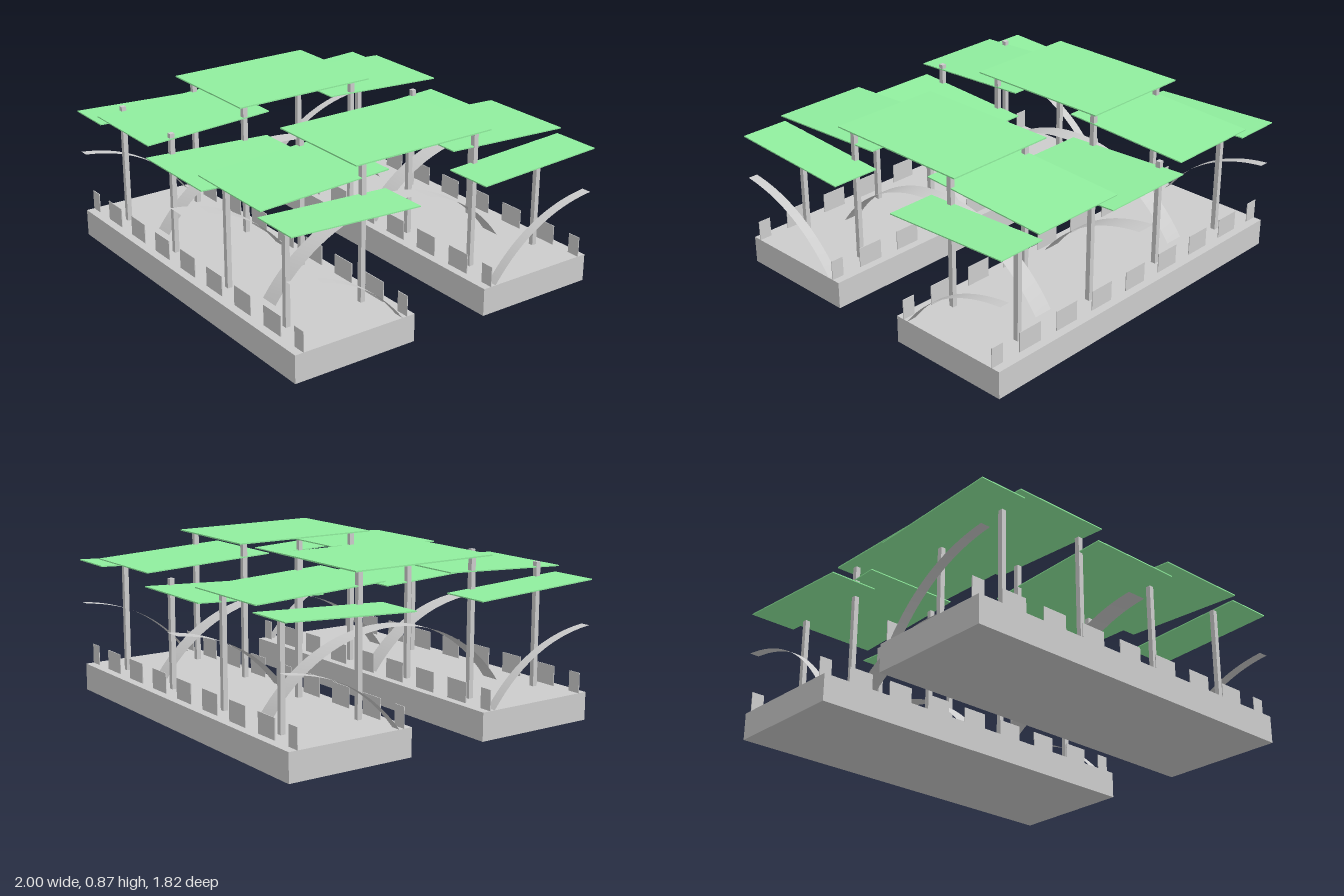
import * as THREE from 'three';

const grey = new THREE.MeshStandardMaterial({ color: 0xcccccc });
const greySheet = new THREE.MeshStandardMaterial({ color: 0xcccccc, side: THREE.DoubleSide });
const green = new THREE.MeshStandardMaterial({ color: 0x90ee9e });

const DECK = 0.145; // height of the platform tops

// Box given by its limits on each axis
function box(name, [x0, x1], [y0, y1], [z0, z1], material = grey) {
  const mesh = new THREE.Mesh(new THREE.BoxGeometry(x1 - x0, y1 - y0, z1 - z0), material);
  mesh.position.set((x0 + x1) / 2, (y0 + y1) / 2, (z0 + z1) / 2);
  mesh.name = name;
  return mesh;
}

// Thin roof whose height runs from yInner (near the middle) to yOuter
function slopedRoof(name, [x0, x1], yInner, yOuter, side) {
  const inner = 0.197, outer = 0.912;
  const run = outer - inner, rise = yOuter - yInner;
  const mesh = new THREE.Mesh(new THREE.BoxGeometry(x1 - x0, 0.006, Math.hypot(run, rise)), green);
  mesh.position.set((x0 + x1) / 2, (yInner + yOuter) / 2, side * (inner + outer) / 2);
  mesh.rotation.x = -side * Math.atan2(rise, run);
  mesh.name = name;
  return mesh;
}

// Sheet of no thickness following a curve of (z, y) points
function ribbon(name, [x0, x1], pointAt, segments = 24) {
  const geometry = new THREE.PlaneGeometry(1, 1, 1, segments);
  const pos = geometry.attributes.position;
  for (let i = 0; i < pos.count; i++) {
    const p = pointAt(pos.getY(i) + 0.5);
    pos.setXYZ(i, pos.getX(i) < 0 ? x0 : x1, p.y, p.x);
  }
  geometry.computeVertexNormals();
  const mesh = new THREE.Mesh(geometry, greySheet);
  mesh.name = name;
  return mesh;
}

export function createModel() {
  const model = new THREE.Group();
  model.name = 'canopyPlatforms';

  // Full arch bridging the gap: circular arc through base and apex
  const half = 0.7, rise = 0.365;
  const radius = (half * half + rise * rise) / (2 * rise);
  const sweep = Math.asin(half / radius);
  const archPoint = (t) => {
    const a = (1 - 2 * t) * sweep;
    return new THREE.Vector2(radius * Math.sin(a), DECK + rise - radius * (1 - Math.cos(a)));
  };
  for (const x of [-0.5, 0.5]) {
    model.add(ribbon('bridgeArch', [x - 0.053, x + 0.053], archPoint, 32));
  }

  for (const side of [1, -1]) {
    const half = new THREE.Group();
    half.name = side > 0 ? 'frontPlatform' : 'backPlatform';
    model.add(half);
    const span = (a, b) => (side > 0 ? [a, b] : [-b, -a]);

    half.add(box('platform', [-1, 1], [0, DECK], span(0.217, 0.897)));

    // Upright panels along both long edges, cut off at the ends
    for (const z of [0.262, 0.85]) {
      for (let i = -4; i <= 4; i++) {
        const x0 = Math.max(-1, i * 0.25 - 0.07), x1 = Math.min(1, i * 0.25 + 0.07);
        half.add(box('edgePanel', [x0, x1], [DECK, 0.25], span(z - 0.002, z + 0.002)));
      }
    }

    // Posts: tall inner row, shorter outer row
    for (const x of [-0.752, -0.252, 0.252, 0.75]) {
      const outerTop = side > 0 && x < 0 ? 0.79 : 0.715;
      const limits = [x - 0.013, x + 0.013];
      half.add(box('innerPost', limits, [DECK, 0.865], span(0.328, 0.354)));
      half.add(box('outerPost', limits, [DECK, outerTop], span(0.758, 0.784)));
    }

    // Sloped roofs at three levels
    for (const x of [[-0.765, -0.237], [0.237, 0.762]]) {
      half.add(slopedRoof('upperRoof', x, 0.79, 0.757, side));
    }
    for (const x of [[-1, -0.74], [0.74, 1]]) {
      half.add(slopedRoof('endRoof', x, 0.686, 0.72, side));
    }
    half.add(slopedRoof('lowerRoof', [-0.262, 0.262], 0.65, 0.685, side));

    // Half arches rising outward from the inner edge
    const curve = new THREE.QuadraticBezierCurve(
      new THREE.Vector2(side * 0.29, DECK),
      new THREE.Vector2(side * 0.52, 0.45),
      new THREE.Vector2(side * 0.905, 0.488));
    for (const x of [[-1, -0.947], [-0.053, 0.053], [0.947, 1]]) {
      half.add(ribbon('halfArch', x, (t) => curve.getPoint(side > 0 ? t : 1 - t)));
    }
  }

  // Flat top roofs over the gap
  model.add(box('topRoof', [-0.823, -0.182], [0.861, 0.868], [-0.41, 0.408], green));
  model.add(box('topRoof', [0.177, 0.792], [0.861, 0.868], [-0.41, 0.408], green));
  return model;
}
